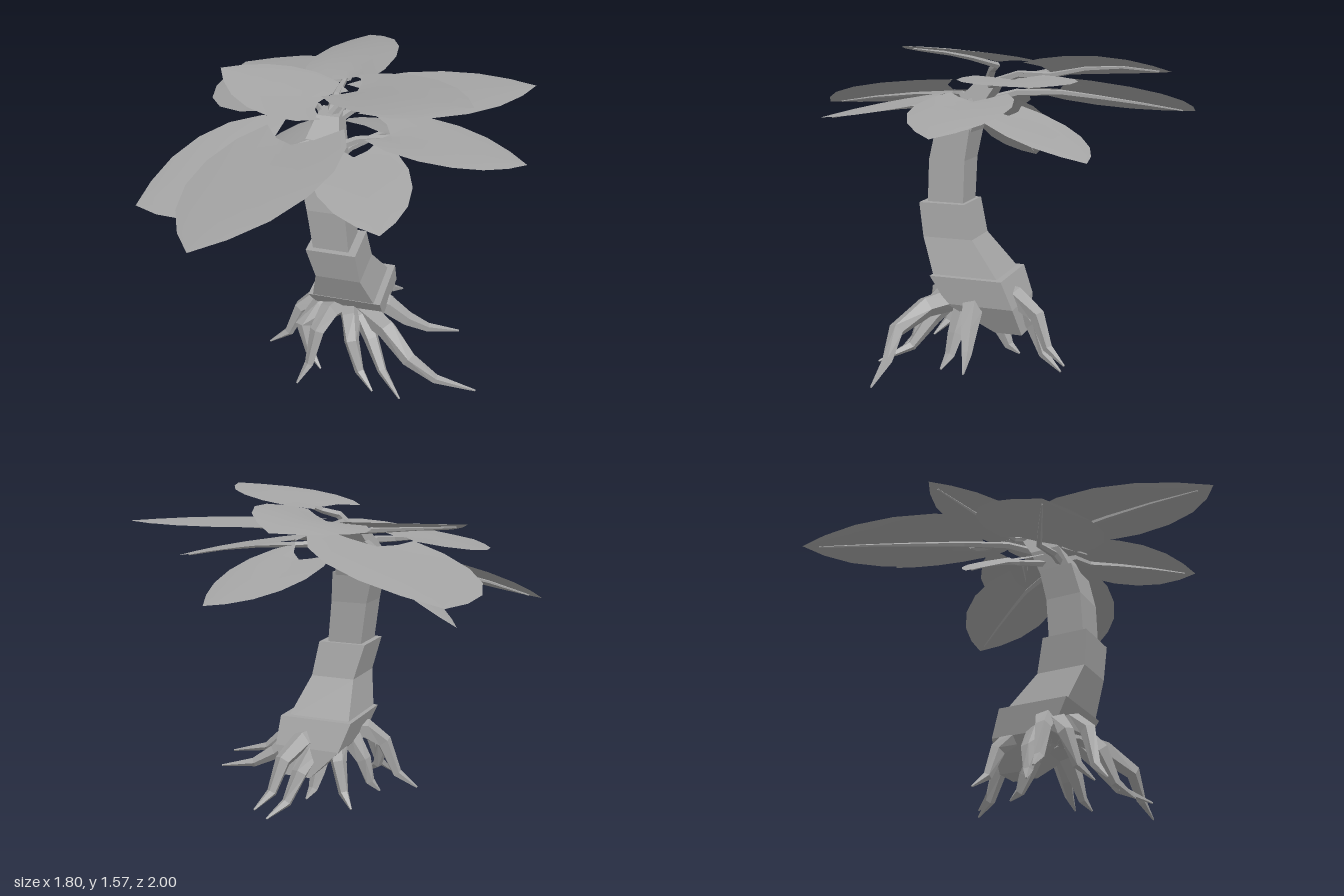
import * as THREE from 'three';

const V = (p) => new THREE.Vector3(...p);
const bark = new THREE.MeshStandardMaterial({ color: 0xa4a4a4, flatShading: true });
const leafMat = new THREE.MeshStandardMaterial({ color: 0xa4a4a4, side: THREE.DoubleSide });

function surface(points, idx) {
  const g = new THREE.BufferGeometry().setFromPoints(points);
  g.setIndex(idx);
  g.computeVertexNormals();
  return g;
}

// Closed skin over a stack of rings that have equal point counts
function loft(rings) {
  const n = rings[0].length, idx = [];
  for (let i = 0; i < rings.length - 1; i++) {
    for (let j = 0; j < n; j++) {
      const a = i * n + j, b = i * n + (j + 1) % n;
      idx.push(a, a + n, b, b, a + n, b + n);
    }
  }
  const last = (rings.length - 1) * n;
  for (let j = 1; j < n - 1; j++) idx.push(0, j, j + 1, last, last + j + 1, last + j);
  return surface(rings.flat(), idx);
}

// Tapered limb along a path of points
function limb(points, radius, sides) {
  const end = points.length - 1;
  return loft(points.map((p, i) => {
    const t = points[Math.min(i + 1, end)].clone().sub(points[Math.max(i - 1, 0)]).normalize();
    const flat = new THREE.Vector3(-t.z, 0, t.x).normalize();
    const b = flat.clone().cross(t);
    const r = radius(i / end);
    return Array.from({ length: sides }, (_, j) => {
      const a = ((j + 0.5) / sides) * Math.PI * 2;
      return p.clone().addScaledVector(flat, r * Math.cos(a)).addScaledVector(b, r * Math.sin(a));
    });
  }));
}

// Trunk sections: each ring is [y, xMin, xMax, zMin, zMax]
const TRUNK = [
  [[0.17, 0.06, 0.2, -0.34, -0.2], [0.31, -0.08, 0.26, -0.31, 0.03], [0.445, -0.12, 0.26, -0.25, 0.12]],
  [[0.43, -0.1, 0.23, -0.23, 0.11], [0.62, -0.06, 0.17, -0.07, 0.19], [0.79, -0.1, 0.15, -0.02, 0.22]],
  [[0.78, -0.07, 0.11, 0, 0.19], [1, -0.1, 0.09, 0, 0.19], [1.155, -0.14, 0.075, -0.02, 0.16]],
  [[1.14, -0.13, 0.06, -0.02, 0.15], [1.26, -0.16, 0.04, -0.06, 0.1], [1.4, -0.11, 0, -0.15, -0.04]],
];

// Roots: knee and tip of each
const ROOTS = [
  [[-0.19, 0.28, 0.03], [-0.36, 0.04, 0.07]],
  [[-0.15, 0.25, 0.13], [-0.03, 0.04, 0.22]],
  [[-0.05, 0.28, 0.2], [-0.13, 0.01, 0.33]],
  [[0.13, 0.24, 0.19], [0.27, 0.02, 0.3]],
  [[0.22, 0.22, 0.12], [0.42, 0.03, 0.33]],
  [[0.44, 0.21, 0.22], [0.79, 0.05, 0.19]],
  [[0.36, 0.2, -0.12], [0.64, 0.11, -0.2]],
  [[0.17, 0.27, -0.41], [0.25, 0.06, -0.57]],
  [[0.1, 0.2, -0.37], [0.2, 0.01, -0.54]],
  [[-0.07, 0.25, -0.28], [-0.17, 0.05, -0.36]],
  [[0.08, 0.15, -0.2], [0.1, 0.04, -0.3]],
  [[-0.12, 0.21, -0.08], [-0.2, 0.04, -0.05]],
  [[0.27, 0.16, -0.02], [0.42, 0.03, 0]],
];

// Path from inside the trunk foot, over a raised knee, steeply down to an ankle and out to the tip
function rootPath([knee, tip]) {
  const core = new THREE.Vector3(0.05, 0.35, -0.06), k = V(knee), t = V(tip);
  const start = core.clone().lerp(k, 0.2);
  const hip = core.clone().lerp(k, 0.65);
  hip.y += 0.04;
  const ankle = k.clone().lerp(t, 0.4);
  ankle.y = THREE.MathUtils.lerp(k.y, t.y, 0.7);
  return [start, hip, k, ankle, t];
}

// Leaves: base, tip, half width, arch along the length, rise of one edge
const LEAVES = [
  [[-0.3, 1.34, -0.38], [-0.82, 1.2, -1], 0.37, 0.005, 0.06],
  [[-0.14, 1.4, -0.17], [-0.71, 1.45, -0.34], 0.215, 0, 0.035],
  [[-0.3, 1.22, 0.06], [-0.9, 1.02, 0.39], 0.31, 0.02, 0.065],
  [[-0.18, 1.33, 0.16], [-0.37, 1.23, 0.99], 0.34, 0.015, -0.06],
  [[0.12, 1.3, 0.15], [0.36, 1.22, 0.65], 0.23, 0.01, 0],
  [[-0.2, 1.21, -0.11], [-0.62, 0.95, -0.16], 0.18, 0.02, 0.04],
  [[0.24, 1.31, -0.1], [0.9, 1.21, -0.15], 0.23, 0.02, 0],
  [[0.14, 1.41, -0.26], [0.88, 1.43, -0.58], 0.27, 0.01, 0],
  [[-0.07, 1.44, -0.39], [-0.07, 1.45, -0.98], 0.24, 0.035, 0.055],
  [[0.06, 1.49, -0.16], [0.65, 1.58, 0.07], 0.25, 0.015, 0],
  [[0.15, 1.24, -0.25], [0.42, 1.07, -0.7], 0.25, 0.01, 0.02],
];
// Leaf outline: place along the length, share of the half width
const OUTLINE = [[0, 0.62], [0.12, 0.88], [0.3, 1], [0.5, 0.94], [0.7, 0.72], [0.87, 0.38], [1, 0]];
const ACROSS = [-1, -0.5, 0, 0.5, 1];

function leafSurface([base, tip, halfWidth, arch, roll]) {
  const b = V(base), span = V(tip).sub(b);
  const side = new THREE.Vector3(-span.z, 0, span.x).normalize();
  return (u, v, w) => {
    // Lobes sweep back beside the stalk; the blade is dished there
    const lobe = 0.16 * v * v * (1 - u) ** 3;
    const p = b.clone().addScaledVector(span, u - lobe).addScaledVector(side, v * w * halfWidth);
    p.y += arch * 4 * u * (1 - u) + roll * v * w + 0.03 * Math.abs(v) * (1 - u) - 0.02 * v * v * w;
    return p;
  };
}

function leafBlade(at) {
  const points = [], idx = [], n = ACROSS.length;
  OUTLINE.forEach(([u, w], i) => ACROSS.forEach((v, j) => {
    points.push(at(u, v, w));
    if (i && j) {
      const d = i * n + j, c = d - 1, b = d - n, a = b - 1;
      idx.push(a, b, c, b, d, c);
    }
  }));
  return surface(points, idx);
}

// Stalk from the trunk top to the leaf, running on as a midrib underneath
function stalkPath(leaf, at) {
  const y = Math.min(1.37, leaf[0][1] - 0.07);
  const start = new THREE.Vector3(-0.06, y, 0.02 - (y - 1.26) * 0.8);
  const bend = start.clone().lerp(at(0, 0, 0), 0.5);
  bend.y += 0.02;
  const rib = [0, 0.3, 0.6, 0.9].map((u) => at(u, 0, 0).add(new THREE.Vector3(0, -0.018 + 0.008 * u, 0)));
  return [start, bend, ...rib];
}

export function createModel() {
  const model = new THREE.Group();
  model.name = 'tree';
  const group = (name) => {
    const g = new THREE.Group();
    g.name = name;
    model.add(g);
    return g;
  };
  const add = (parent, name, geometry, material) => {
    const m = new THREE.Mesh(geometry, material);
    m.name = name;
    parent.add(m);
  };

  // Four stacked, bent trunk sections
  const trunk = group('trunk');
  TRUNK.forEach((section, i) => {
    const rings = section.map(([y, x0, x1, z0, z1]) =>
      [[x1, y, z0], [x1, y, z1], [x0, y, z1], [x0, y, z0]].map(V));
    add(trunk, `trunkSection${i + 1}`, loft(rings), bark);
  });

  // Knobbly tapering roots
  const roots = group('roots');
  ROOTS.forEach((root, i) => add(roots, `root${i + 1}`,
    limb(rootPath(root), (t) => 0.005 + 0.062 * (1 - t) ** 0.8, 5), bark));

  // Crown of leaves on stalks
  const crown = group('crown');
  LEAVES.forEach((leaf, i) => {
    const at = leafSurface(leaf);
    add(crown, `leaf${i + 1}`, leafBlade(at), leafMat);
    add(crown, `stalk${i + 1}`, limb(stalkPath(leaf, at), (t) => 0.024 - 0.02 * t, 5), bark);
  });
  return model;
}
